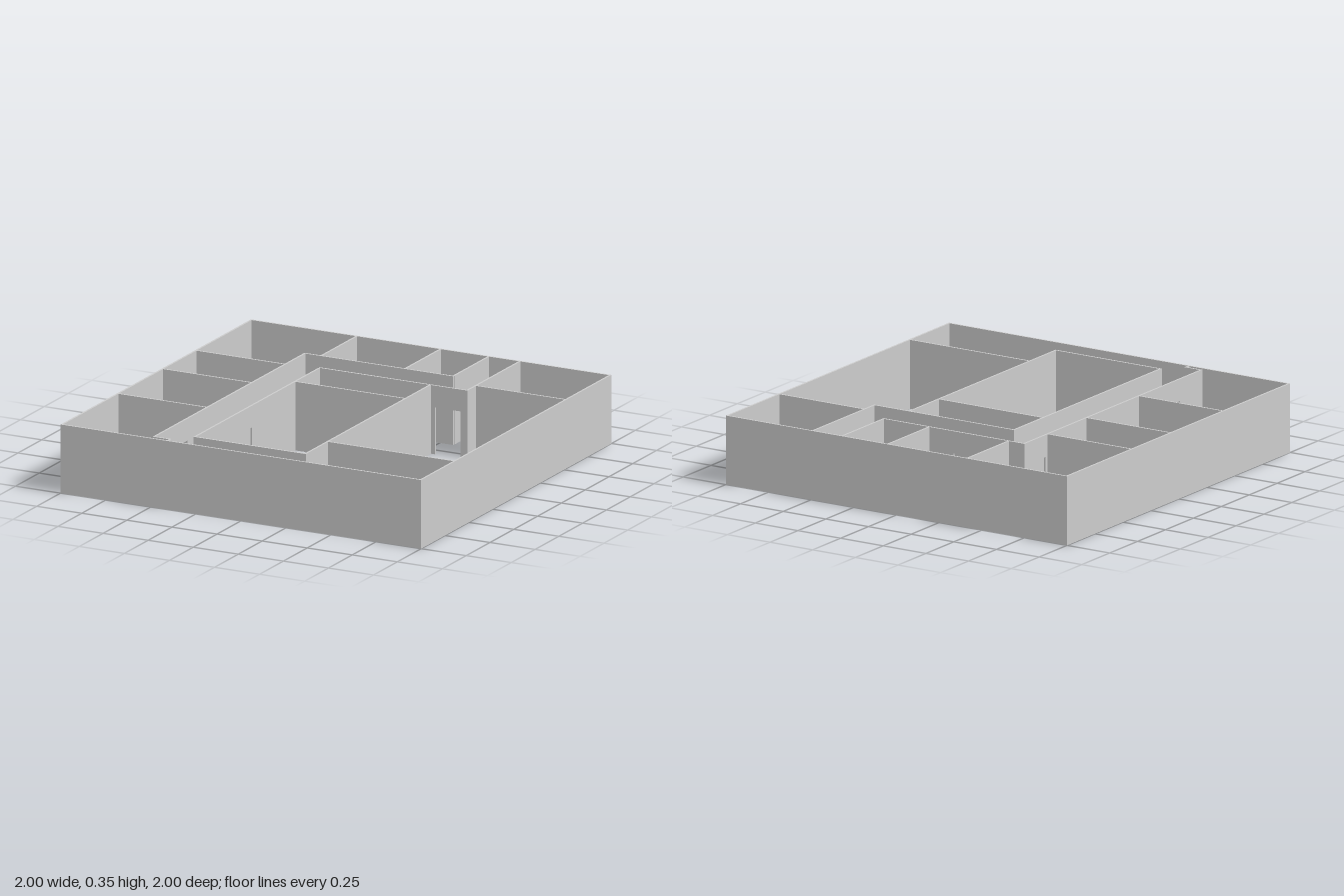
import * as THREE from 'three';

const HEIGHT = 0.352;
const DOOR_HEIGHT = 0.24;
const T = 0.01; // wall thickness

// Wall from a to b on one axis, centred at "at" on the other; doors are [start, end] along it
function wall(name, axis, at, a, b, doors = []) {
  const shape = new THREE.Shape();
  shape.moveTo(a, 0);
  for (const [d0, d1] of doors) {
    shape.lineTo(d0, 0);
    shape.lineTo(d0, DOOR_HEIGHT);
    shape.lineTo(d1, DOOR_HEIGHT);
    shape.lineTo(d1, 0);
  }
  shape.lineTo(b, 0);
  shape.lineTo(b, HEIGHT);
  shape.lineTo(a, HEIGHT);
  const geometry = new THREE.ExtrudeGeometry(shape, { depth: T, bevelEnabled: false });
  geometry.translate(0, 0, -T / 2);
  if (axis === 'z') geometry.rotateY(-Math.PI / 2); // run along +z
  const mesh = new THREE.Mesh(geometry, new THREE.MeshStandardMaterial({ color: 0xcccccc }));
  mesh.name = name;
  if (axis === 'z') mesh.position.x = at;
  else mesh.position.z = at;
  return mesh;
}

export function createModel() {
  const model = new THREE.Group();
  model.name = 'floorPlan';
  const add = (...args) => model.add(wall(...args));

  // Outer walls
  add('frontWall', 'x', 0.995, -1, 1);
  add('backWall', 'x', -0.995, -1, 1);
  add('leftOuterWall', 'z', 0.995, -0.99, 0.99);
  add('rightOuterWall', 'z', -0.995, -0.99, 0.99);

  // Row of rooms along the -x side, one door each
  add('sideCorridorWall', 'z', -0.5, -0.625, 0.97,
    [[-0.57, -0.435], [-0.3, -0.16], [0.1, 0.235], [0.625, 0.77]]);
  for (const z of [-0.413, -0.063, 0.407]) add('sideRoomDivider', 'x', z, -0.99, -0.505);
  add('cornerNicheWall', 'x', 0.965, -0.495, -0.405);
  add('cornerNicheReturn', 'z', -0.41, 0.97, 0.99);

  // Rooms along the back
  add('backCorridorWall', 'x', -0.62, -0.495, 0.325, [[-0.22, -0.09]]);
  add('backRoomDivider', 'z', -0.41, -0.99, -0.625);
  add('backRoomDivider', 'z', 0.055, -0.99, -0.625);
  add('backRoomEndWall', 'z', 0.322, -0.99, -0.625, [[-0.89, -0.755]]);

  // Back corner room
  add('cornerRoomWall', 'z', 0.495, -0.99, -0.445, [[-0.83, -0.69]]);
  add('cornerRoomDivider', 'x', -0.53, 0.5, 0.99);

  // Central block
  add('centreBackWall', 'x', -0.44, -0.325, 0.5, [[-0.09, 0.055], [0.32, 0.46]]);
  add('centreSideWall', 'z', -0.322, -0.435, 0.878, [[0.28, 0.43]]);
  add('centreSideWall', 'z', 0.291, -0.435, 0.878);
  add('centreFrontWall', 'x', 0.873, -0.317, 0.286);
  add('centreDivider', 'x', -0.178, -0.317, 0.286);

  // Large room divider
  add('largeRoomDivider', 'x', 0.64, 0.296, 0.99);

  return model;
}
